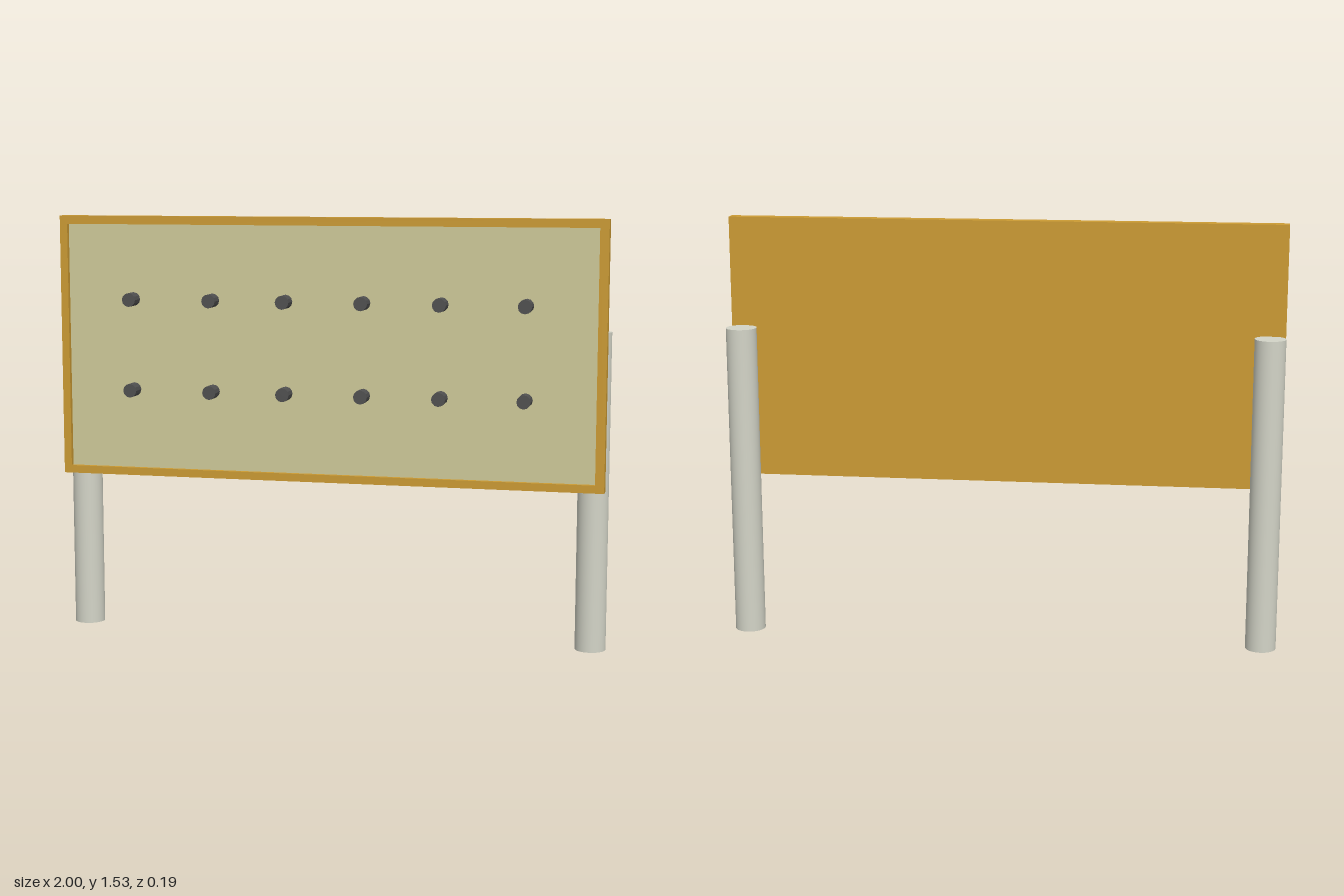
import * as THREE from 'three';

const paint = (color, flatShading = false) => new THREE.MeshStandardMaterial({ color, flatShading });

function rect(shape, x0, x1, y0, y1) {
  shape.moveTo(x0, y0);
  shape.lineTo(x1, y0);
  shape.lineTo(x1, y1);
  shape.lineTo(x0, y1);
  shape.closePath();
  return shape;
}

export function createModel() {
  const group = new THREE.Group();
  const wood = paint(0xcc9b33);
  const panelMat = paint(0xcfca9a);
  const postMat = paint(0xd3d4c7);
  const pegMat = paint(0x505050, true);

  const add = (name, geometry, material, x = 0, y = 0, z = 0) => {
    const mesh = new THREE.Mesh(geometry, material);
    mesh.name = name;
    mesh.position.set(x, y, z);
    group.add(mesh);
    return mesh;
  };

  // Board outline, panel opening and depths
  const [x0, x1, y0, y1] = [-1, 0.99, 0.58, 1.528];
  const [ix0, ix1, iy0, iy1] = [-0.972, 0.958, 0.608, 1.498];
  const back = 0.01, mid = 0.025, panelFront = 0.04, front = 0.057;

  // Solid backing with a raised frame around the opening
  add('backingBoard', new THREE.BoxGeometry(x1 - x0, y1 - y0, mid - back), wood,
    (x0 + x1) / 2, (y0 + y1) / 2, (back + mid) / 2);
  const frame = rect(new THREE.Shape(), x0, x1, y0, y1);
  frame.holes.push(rect(new THREE.Path(), ix0, ix1, iy0, iy1));
  add('frame', new THREE.ExtrudeGeometry(frame, { depth: front - mid, bevelEnabled: false }), wood, 0, 0, mid);

  // Recessed panel
  add('panel', new THREE.BoxGeometry(ix1 - ix0, iy1 - iy0, panelFront - mid), panelMat,
    (ix0 + ix1) / 2, (iy0 + iy1) / 2, (mid + panelFront) / 2);

  // Two rows of pegs
  const pegFront = 0.096;
  const peg = new THREE.CylinderGeometry(0.025, 0.025, pegFront - panelFront, 12).rotateX(Math.PI / 2);
  for (const y of [1.227, 0.897]) {
    for (const x of [-0.727, -0.427, -0.155, 0.13, 0.41, 0.71]) {
      add('peg', peg, pegMat, x, y, (panelFront + pegFront) / 2);
    }
  }

  // Round posts behind the board
  const postHeight = 1.135;
  const post = new THREE.CylinderGeometry(0.055, 0.055, postHeight, 40);
  add('rightPost', post, postMat, -0.945, postHeight / 2, -0.036);
  add('leftPost', post, postMat, 0.943, postHeight / 2, -0.041);

  return group;
}
